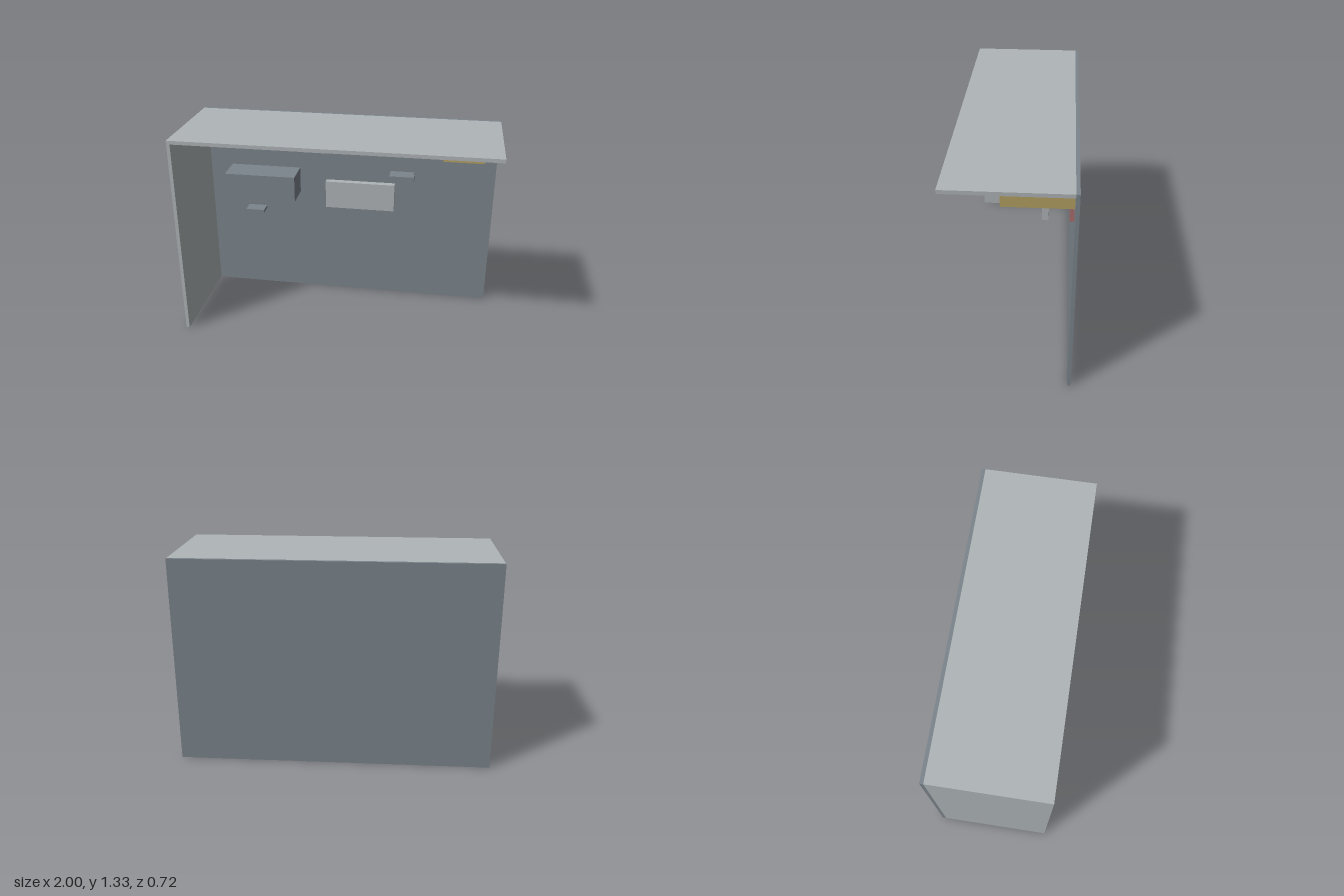
import * as THREE from 'three';

const mat = (name, color) => {
  const m = new THREE.MeshStandardMaterial({ color });
  m.name = name;
  return m;
};

export function createModel() {
  const group = new THREE.Group();
  group.name = 'openBooth';
  const light = mat('lightGrey', 0xb0b6b8);
  const slate = mat('slateGrey', 0x7c858d);
  const red = mat('dustyRed', 0xab7071);
  const ochre = mat('ochre', 0xb5a264);

  // Box spanning [min, max] on each axis
  const box = (name, material, [x0, x1], [y0, y1], [z0, z1]) => {
    const mesh = new THREE.Mesh(new THREE.BoxGeometry(x1 - x0, y1 - y0, z1 - z0), material);
    mesh.position.set((x0 + x1) / 2, (y0 + y1) / 2, (z0 + z1) / 2);
    mesh.name = name;
    group.add(mesh);
  };

  // Shell: back wall, one side wall and the roof
  box('backWall', slate, [-1, 1], [0, 1.333], [-0.362, -0.34]);
  box('sideWall', light, [-1, -0.978], [0, 1.31], [-0.34, 0.362]);
  box('roof', light, [-1, 1], [1.31, 1.333], [-0.34, 0.362]);

  // Units fixed to the back wall
  box('wallCabinet', slate, [-0.823, -0.337], [0.757, 0.934], [-0.34, -0.145]);
  box('wallShelf', ochre, [0.652, 0.9], [1.182, 1.288], [-0.34, 0.05]);
  box('wallPlaque', red, [0.523, 0.846], [1.066, 1.205], [-0.34, -0.314]);

  // Panels and slabs hanging in the space
  box('largePanel', light, [-0.123, 0.34], [0.731, 0.918], [-0.196, -0.155]);
  box('smallPanel', light, [-0.278, -0.08], [1.135, 1.25], [-0.139, -0.107]);
  box('ceilingStrip', red, [-0.667, -0.357], [1.29, 1.3], [-0.033, 0.155]);
  box('upperSlab', slate, [0.32, 0.475], [1.03, 1.062], [-0.051, 0.042]);
  box('lowerSlab', slate, [-0.642, -0.518], [0.727, 0.745], [-0.09, -0.007]);

  return group;
}
